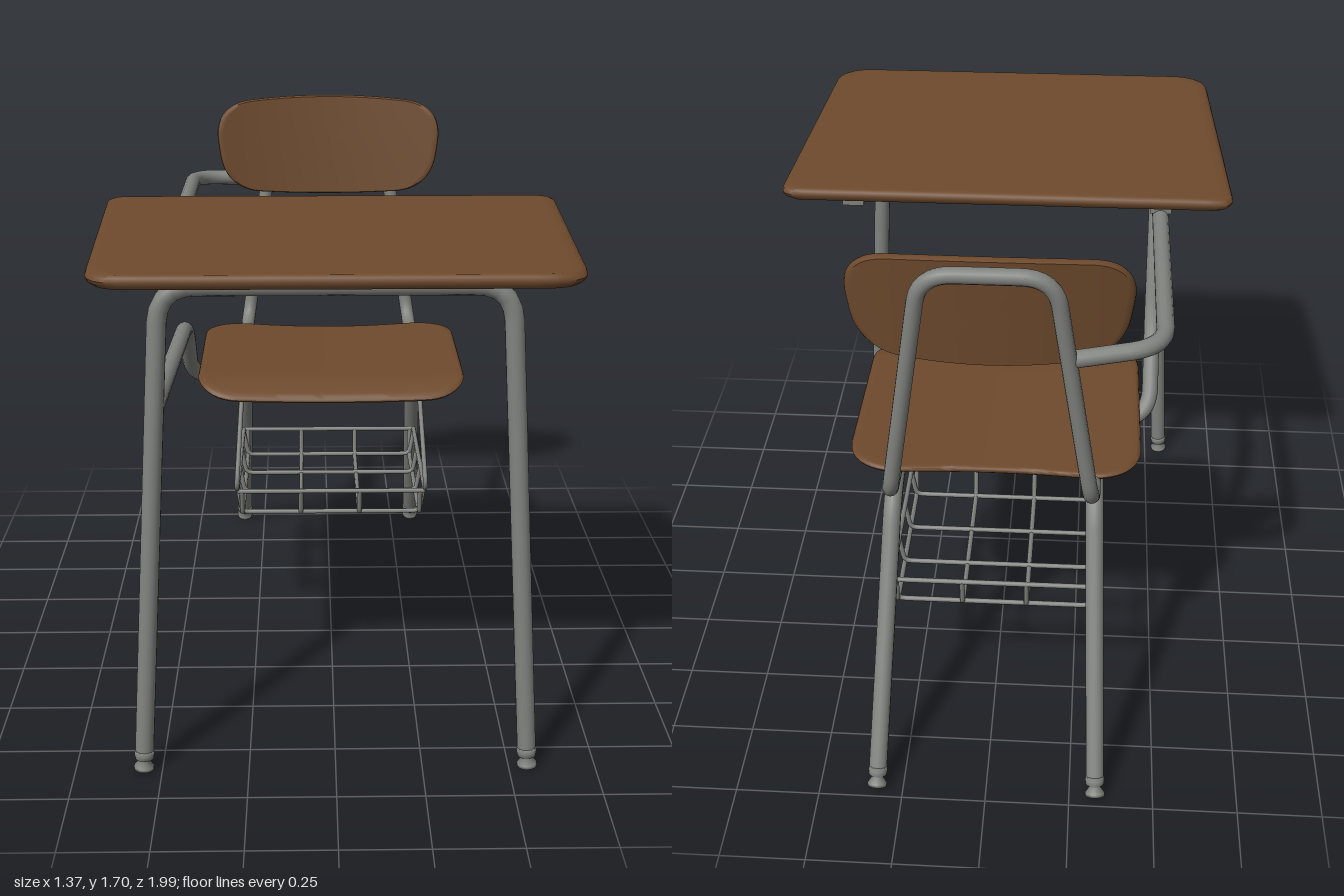
import * as THREE from 'three';
import { mergeGeometries, toCreasedNormals } from 'three/addons/utils/BufferGeometryUtils.js';

const V = (p) => new THREE.Vector3(...p);
const flip = ([x, y, z]) => [-x, y, z];

// Round tube through corner points; each corner is eased over the given distance.
function pipe(points, radius, bend = 0.1, segments = 110, sides = 14) {
  const p = points.map(V);
  const path = new THREE.CurvePath();
  let from = p[0];
  for (let i = 1; i < p.length - 1; i++) {
    const toward = (q) => p[i].clone().add(q.clone().sub(p[i]).setLength(Math.min(bend, q.distanceTo(p[i]) * 0.49)));
    const a = toward(p[i - 1]), b = toward(p[i + 1]);
    path.add(new THREE.LineCurve3(from, a));
    path.add(new THREE.QuadraticBezierCurve3(a, p[i], b));
    from = b;
  }
  path.add(new THREE.LineCurve3(from, p[p.length - 1]));
  const caps = [[p[0], p[1]], [p[p.length - 1], p[p.length - 2]]].map(([end, next]) => {
    const cap = new THREE.CircleGeometry(radius, sides);
    const out = end.clone().sub(next).normalize();
    cap.applyQuaternion(new THREE.Quaternion().setFromUnitVectors(new THREE.Vector3(0, 0, 1), out));
    return cap.translate(end.x, end.y, end.z);
  });
  return mergeGeometries([new THREE.TubeGeometry(path, segments, radius, sides), ...caps]);
}

// Symmetric rounded outline from its right-hand corners [x, y, rounding], listed upward.
function outline(half) {
  const pts = [...half, ...half.map(([x, y, r]) => [-x, y, r]).reverse()];
  const v = pts.map(([x, y]) => new THREE.Vector2(x, y));
  const shape = new THREE.Shape();
  v.forEach((c, i) => {
    const toward = (q) => c.clone().add(q.clone().sub(c).setLength(pts[i][2]));
    const a = toward(v[(i + v.length - 1) % v.length]), b = toward(v[(i + 1) % v.length]);
    if (i) shape.lineTo(a.x, a.y); else shape.moveTo(a.x, a.y);
    shape.quadraticCurveTo(c.x, c.y, b.x, b.y);
  });
  shape.closePath();
  return shape.getSpacedPoints(140).slice(0, -1);
}

// Thin board made of concentric rings, bent by place(x, y, height).
function panel(points, thick, place) {
  const t = thick / 2, n = points.length;
  const inner = [0, 0.2, 0.4, 0.55, 0.7, 0.8, 0.88, 0.94, 0.975];
  const rings = [...inner.map((s) => [s, t]), [0.993, t * 0.7], [1, t * 0.1], [0.993, -t * 0.5],
    ...inner.map((s) => [s, -t]).reverse()];
  const pos = [], index = [];
  rings.forEach(([s, h], i) => points.forEach((p, j) => {
    pos.push(...place(p.x * s, p.y * s, h));
    const k = (j + 1) % n;
    if (i === rings.length - 1) return;
    const a = i * n + j, b = a + n, c = (i + 1) * n + k, d = i * n + k;
    if (i < rings.length - 2) index.push(a, b, c);
    if (i > 0) index.push(a, c, d);
  }));
  const g = new THREE.BufferGeometry();
  g.setAttribute('position', new THREE.Float32BufferAttribute(pos, 3));
  g.setIndex(index);
  return toCreasedNormals(g, 0.8);
}

export function createModel() {
  const model = new THREE.Group();
  const wood = new THREE.MeshStandardMaterial({ color: 0x6e4a2d });
  wood.name = 'brown wood';
  const metal = new THREE.MeshStandardMaterial({ color: 0x81837f });
  metal.name = 'grey metal';
  const add = (name, geometry, material = metal, parent = model) => {
    const mesh = new THREE.Mesh(geometry, material);
    mesh.name = name;
    parent.add(mesh);
    return mesh;
  };

  // Desktop, slightly narrower toward the front
  add('desktop', panel(outline([[0.64, -0.49, 0.1], [0.688, 0.49, 0.05]]), 0.038,
    (x, y, h) => [x, 1.481 + h, 0.505 - y]), wood);

  // Seat: dished across, notched at the rear, lip rolled down at the front
  add('seat', panel(outline([[0.425, -0.36, 0.13], [0.43, 0.36, 0.15]]), 0.02, (x, y, h) => {
    const u = (x / 0.43) ** 2;
    const rear = Math.max(0, y / 0.36) ** 4;
    const z = -0.23 - y + 0.025 * rear * Math.max(0, 1 - 2 * u);
    const lip = Math.max(0, (z - 0.01) / 0.12) ** 2;
    return [x, 0.898 + 0.012 * u - 0.035 * lip + h, z];
  }), wood);

  // Backrest: bowed top and bottom edges, wrapped forward at the sides
  add('backrest', panel(outline([[0.36, -0.145, 0.12], [0.4, 0.14, 0.13]]), 0.03, (x, y, h) => {
    const u = (x / 0.385) ** 2;
    const v = y * (1 + 0.19 * (1 - u));
    return [x, 1.53 + v, -0.722 - 0.1 * v + 0.05 * u + h];
  }), wood);

  // Inverted U carrying the desktop
  const footF = [0.551, 0.035, 0.85], topF = [0.47, 1.42, 0.79];
  add('frontLegFrame', pipe([flip(footF), flip(topF), topF, footF], 0.027));

  // Bent rear legs
  const kneeR = [0.295, 0.845, -0.545], footR = [0.326, 0.04, -0.952];
  for (const m of [(p) => p, flip]) {
    add('rearLeg', pipe([[0.29, 0.845, -0.16], kneeR, footR].map(m), 0.027, 0.13));
  }

  // Flared glides under all four legs
  const glide = new THREE.LatheGeometry([[0, -0.035], [0.029, -0.035], [0.029, -0.026], [0.017, -0.008],
    [0.027, 0], [0.029, 0.014], [0.027, 0.026], [0, 0.026]].map((p) => new THREE.Vector2(...p)), 18);
  const up = new THREE.Vector3(0, 1, 0);
  for (const [foot, top] of [[footF, topF], [footR, kneeR]]) {
    for (const m of [(p) => p, flip]) {
      const g = add('footGlide', glide);
      const dir = V(m(top)).sub(V(m(foot))).normalize();
      g.quaternion.setFromUnitVectors(up, dir);
      g.position.copy(V(m(foot)));
    }
  }

  // Seat rails rising into the backrest hoop
  const hoop = [[0.29, 0.887, 0.03], [0.29, 0.887, -0.7], [0.175, 1.665, -0.776]];
  add('seatAndBackFrame', pipe([...hoop, ...hoop.map(flip).reverse()], 0.023, 0.09, 160));

  // Side bar joining the front frame to the seat, and the arm tube
  add('sideBar', pipe([[-0.487, 1.085, 0.8], [-0.46, 1.085, 0], [-0.46, 0.845, -0.19], [-0.28, 0.845, -0.19]], 0.025));
  add('armTube', pipe([[-0.47, 1.42, 0.17], [-0.47, 1.42, -0.69], [-0.2, 1.4, -0.745]], 0.025));

  // Flat rails beneath the desktop
  for (const s of [-1, 1]) {
    add('desktopRail', new THREE.BoxGeometry(0.065, 0.03, 0.75).translate(s * 0.47, 1.448, 0.43));
  }

  // Wire book basket
  const basket = new THREE.Group();
  basket.name = 'bookBasket';
  model.add(basket);
  const wire = (name, pts, bend = 0.02) => add(name, pipe(pts, 0.008, bend, 48, 8), metal, basket);
  const side = [[0.29, 0.86, -0.14], [0.31, 0.53, 0.03], [0.31, 0.505, -0.03], [0.31, 0.505, -0.6]];
  for (const m of [(p) => p, flip]) wire('hangerAndSideRail', side.map(m), 0.05);
  wire('rearRail', [[-0.31, 0.505, -0.6], [0.31, 0.505, -0.6]]);
  for (const x of [-0.295, -0.1, 0.095, 0.295]) {
    wire('lengthwiseWire', [[x, 0.5, -0.02], [x, 0.41, -0.045], [x, 0.41, -0.585], [x, 0.505, -0.6]]);
  }
  for (const z of [-0.05, -0.23, -0.4, -0.58]) {
    wire('crossWire', [[-0.31, 0.505, z], [-0.295, 0.415, z], [0.295, 0.415, z], [0.31, 0.505, z]]);
  }
  wire('frontRail', [[-0.31, 0.5, -0.02], [0.31, 0.5, -0.02]]);

  return model;
}
